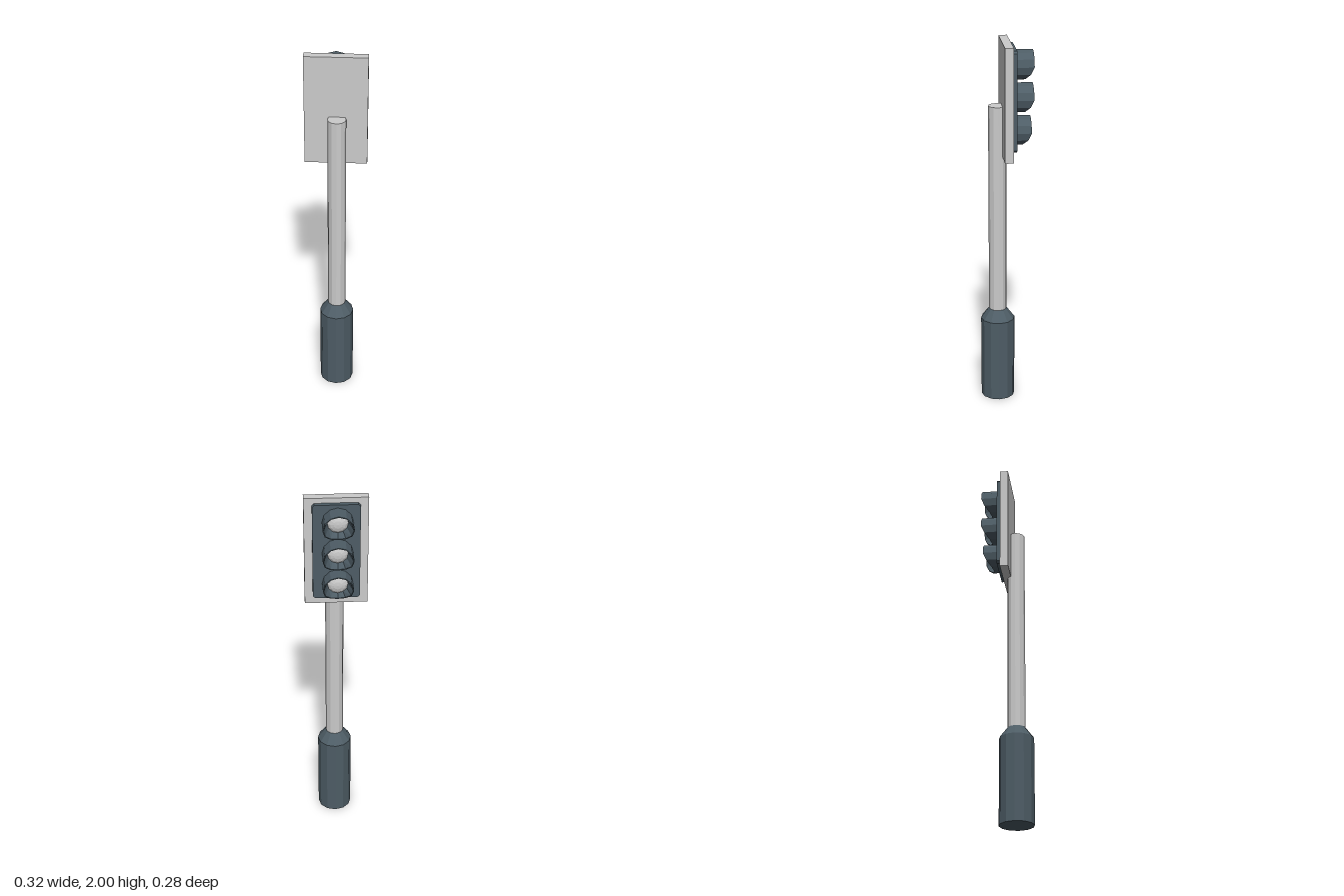
import * as THREE from 'three';

const SIDES = 12;
const grey = new THREE.MeshStandardMaterial({ color: 0xcccccc, flatShading: true });
const dark = new THREE.MeshStandardMaterial({ color: 0x4e5d66, flatShading: true });

function part(parent, name, geometry, material, x = 0, y = 0, z = 0) {
  const mesh = new THREE.Mesh(geometry, material);
  mesh.name = name;
  mesh.position.set(x, y, z);
  parent.add(mesh);
  return mesh;
}

// Hood: a tube along -z whose lower rim is cut back, lined by a cone down to the lens
function visorGeometry(radius, depth) {
  const rim = c => -depth + (c < -0.1 ? 0.055 * Math.pow(-c, 1.7) : 0);
  const rings = [
    [radius, () => 0],
    [radius, rim],
    [radius - 0.005, rim],
    [0.052, () => -0.012],
  ];
  const position = [], index = [];
  for (const [r, z] of rings) {
    for (let i = 0; i < SIDES; i++) {
      const a = (i / SIDES) * Math.PI * 2;
      position.push(r * Math.sin(a), r * Math.cos(a), z(Math.cos(a)));
    }
  }
  for (let k = 0; k < rings.length - 1; k++) {
    for (let i = 0; i < SIDES; i++) {
      const j = (i + 1) % SIDES;
      const a = k * SIDES + i, b = k * SIDES + j;
      index.push(a, b, a + SIDES, b, b + SIDES, a + SIDES);
    }
  }
  const g = new THREE.BufferGeometry();
  g.setAttribute('position', new THREE.Float32BufferAttribute(position, 3));
  g.setIndex(index);
  g.computeVertexNormals();
  return g;
}

// Rectangle with small cut corners
function panelGeometry(w, h, d, cut) {
  const x = w / 2, y = h / 2;
  const shape = new THREE.Shape([
    [x, y - cut], [x - cut, y], [cut - x, y], [-x, y - cut],
    [-x, cut - y], [cut - x, -y], [x - cut, -y], [x, cut - y],
  ].map(p => new THREE.Vector2(...p)));
  return new THREE.ExtrudeGeometry(shape, { depth: d, bevelEnabled: false });
}

export function createModel() {
  const model = new THREE.Group();
  model.name = 'trafficLight';

  // Post: heavy foot, tapered collar and slim pole
  const post = new THREE.Group();
  post.name = 'post';
  post.position.set(0.005, 0, 0.045);
  model.add(post);
  part(post, 'foot', new THREE.CylinderGeometry(0.092, 0.092, 0.466, SIDES), dark, 0, 0.233);
  part(post, 'collar', new THREE.CylinderGeometry(0.048, 0.092, 0.058, SIDES), dark, 0, 0.495);
  part(post, 'pole', new THREE.CylinderGeometry(0.048, 0.048, 1.155, SIDES), grey, 0, 1.09);

  // Signal head: backboard, dark panel and three hooded lamps facing -z
  const head = new THREE.Group();
  head.name = 'signalHead';
  model.add(head);
  part(head, 'backboard', new THREE.BoxGeometry(0.324, 0.6, 0.045), grey, -0.001, 1.7, -0.001);
  part(head, 'panel', panelGeometry(0.241, 0.53, 0.027, 0.012), dark, -0.001, 1.708, -0.047);

  const lens = new THREE.SphereGeometry(0.055, SIDES, 4, 0, Math.PI * 2, 0, Math.PI / 2);
  lens.scale(1, 0.5, 1).rotateX(-Math.PI / 2);

  [[1.878, 0.1], [1.705, 0.1], [1.53, 0.088]].forEach(([y, depth]) => {
    const lamp = new THREE.Group();
    lamp.name = 'lamp';
    lamp.position.set(-0.007, y, -0.04);
    head.add(lamp);
    part(lamp, 'visor', visorGeometry(0.079, depth), dark);
    part(lamp, 'lens', lens, grey, 0, 0, -0.01);
  });

  return model;
}
